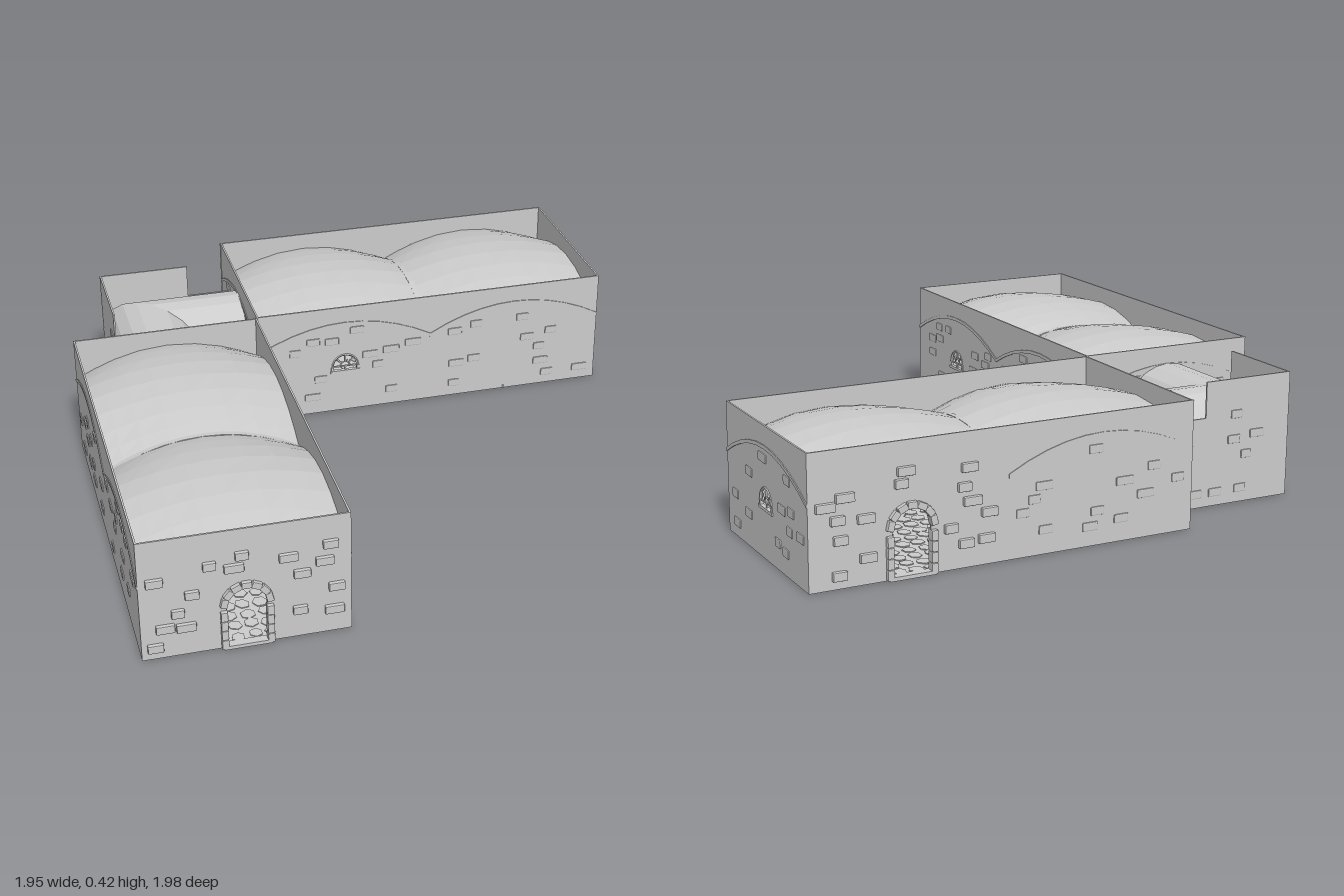
import * as THREE from 'three';
import { RoundedBoxGeometry } from 'three/addons/geometries/RoundedBoxGeometry.js';

const H = 0.42, BAY = 0.645, T = 0.006;
const SPRING = 0.27, RISE = 0.09;

export function createModel() {
  const model = new THREE.Group();
  const mat = new THREE.MeshStandardMaterial({ color: 0xcccccc, flatShading: true, side: THREE.DoubleSide });
  let seed = 7;
  const rnd = () => (seed = (seed * 16807) % 2147483647) / 2147483647;

  const add = (parent, name, geo, x = 0, y = 0, z = 0) => {
    const m = new THREE.Mesh(geo, mat);
    m.name = name;
    m.position.set(x, y, z);
    parent.add(m);
    return m;
  };
  const box = (parent, name, w, h, d, x, y, z) => add(parent, name, new THREE.BoxGeometry(w, h, d), x, y, z);
  const extrude = (shape, depth) => new THREE.ExtrudeGeometry(shape, { depth, bevelEnabled: false, curveSegments: 8 });

  // round-headed opening: half width r, foot at y0, springing at y1
  const archPath = (PathType, r, y0, y1) => {
    const p = new PathType();
    p.moveTo(-r, y0);
    p.lineTo(r, y0);
    p.lineTo(r, y1);
    p.absarc(0, y1, r, 0, Math.PI, false);
    p.lineTo(-r, y0);
    return p;
  };

  // shallow arch band that follows the edge of the vault
  const archBand = (len, thick) => {
    const top = [], low = [];
    for (let i = 0; i <= 10; i++) {
      const u = -1 + i / 5, y = SPRING + RISE * (1 - u * u);
      top.push(new THREE.Vector2(u * len / 2, y));
      low.unshift(new THREE.Vector2(u * len / 2, y - thick));
    }
    return new THREE.Shape([...top, ...low]);
  };

  // stone surround of a doorway
  function doorFrame(parent) {
    const g = new THREE.Group();
    g.name = 'doorFrame';
    parent.add(g);
    const d = 0.028, w = 0.022, z = 0;
    for (const s of [-1, 1])
      for (let i = 0; i < 4; i++)
        add(g, 'jambStone', new RoundedBoxGeometry(w, 0.033, d, 1, 0.003), s * 0.071, 0.018 + i * 0.034, z);
    for (let i = 0; i < 7; i++) {
      const a = (i + 0.5) * Math.PI / 7;
      const m = add(g, 'archStone', new RoundedBoxGeometry(w, 0.032, d, 1, 0.003),
        Math.cos(a) * 0.071, 0.152 + Math.sin(a) * 0.071, z);
      m.rotation.z = a;
    }
    box(g, 'threshold', 0.15, 0.012, d, 0, 0.006, z);
  }

  // half-round window with a grille
  function windowFrame(parent) {
    const g = new THREE.Group();
    g.name = 'window';
    g.position.set(0, 0.18, -T / 2);
    parent.add(g);
    for (const [r, t] of [[0.048, 0.006], [0.018, 0.003]])
      add(g, 'windowArch', new THREE.TorusGeometry(r, t, 4, 10, Math.PI));
    for (let i = 1; i < 4; i++) {
      const a = i * Math.PI / 4;
      box(g, 'windowBar', 0.032, 0.005, 0.005, Math.cos(a) * 0.032, Math.sin(a) * 0.032, 0).rotation.z = a;
    }
    box(g, 'windowSill', 0.11, 0.01, 0.014, 0, -0.02, 0);
    for (const s of [-1, 1]) box(g, 'windowSide', 0.01, 0.02, 0.01, s * 0.048, -0.01, 0);
    box(g, 'windowBar', 0.096, 0.005, 0.005, 0, 0, 0);
    box(g, 'windowBar', 0.005, 0.02, 0.005, 0, -0.01, 0);
  }

  // wall panel: local x along the wall, +z outward
  function wall(name, x, z, angle, len, { kind = 'plain', h = H, bricks = 12 } = {}) {
    const g = new THREE.Group();
    g.name = name;
    g.position.set(x, 0, z);
    g.rotation.y = angle;
    model.add(g);
    const s = new THREE.Shape();
    s.moveTo(-len / 2, 0);
    s.lineTo(len / 2, 0);
    s.lineTo(len / 2, h);
    s.lineTo(-len / 2, h);
    s.closePath();
    if (kind === 'door') s.holes.push(archPath(THREE.Path, 0.062, 0.004, 0.15));
    if (kind === 'window') s.holes.push(archPath(THREE.Path, 0.046, 0.16, 0.18));
    if (kind === 'passage') s.holes.push(archPath(THREE.Path, 0.145, 0.004, 0.2));
    add(g, 'wallPanel', extrude(s, T), 0, 0, -T);
    if (kind === 'door') doorFrame(g);
    if (kind === 'window') windowFrame(g);
    if (kind !== 'door' && len > 0.6) add(g, 'wallArch', extrude(archBand(len, 0.012), 0.003), 0, 0, 0);
    // scattered bricks, clear of the opening and of each other
    const clear = { door: 0.12, window: 0.09, passage: 0.2, plain: 0 }[kind];
    const depth = kind === 'door' ? 0.026 : 0.008;
    const placed = [];
    for (let n = 0; n < 200 && placed.length < bricks; n++) {
      const bx = (rnd() - 0.5) * (len - 0.08), by = 0.04 + rnd() * (Math.min(h, 0.36) - 0.07);
      if (Math.abs(bx) < clear && by < 0.27) continue;
      if (kind !== 'door' && len > 0.6 && by > SPRING - 0.03 + RISE * (1 - (2 * bx / len) ** 2)) continue;
      if (placed.some(p => Math.abs(p[0] - bx) < 0.06 && Math.abs(p[1] - by) < 0.036)) continue;
      placed.push([bx, by]);
      add(g, 'brick', new RoundedBoxGeometry(0.04 + rnd() * 0.022, 0.028, depth, 1, 0.003), bx, by, 0);
    }
  }

  // sheet of vaulting over a rectangle; u and v run from -1 to 1
  function vault(name, cx, cz, w, d, height, turned = false) {
    const geo = new THREE.PlaneGeometry(2, 2, 10, 10).rotateX(-Math.PI / 2);
    if (turned) geo.rotateY(Math.PI / 2);
    const p = geo.attributes.position;
    for (let i = 0; i < p.count; i++) {
      const u = Math.sin(p.getX(i) * Math.PI / 2), v = Math.sin(p.getZ(i) * Math.PI / 2);
      p.setXYZ(i, u * w / 2, height(u, v), v * d / 2);
    }
    geo.computeVertexNormals();
    add(model, name, geo, cx, 0, cz);
  }
  const sail = (u, v) => {
    const a = 1 - u * u, b = 1 - v * v;
    return SPRING + RISE * (a + b) - 0.04 * a * b;
  };
  const barrel = u => 0.2 + 0.16 * Math.sqrt(Math.max(0, 1 - u * u));

  // paved floor: slab with uneven cobbles showing on both faces
  function floor(name, x0, x1, z0, z1) {
    const g = new THREE.Group();
    g.name = name;
    model.add(g);
    const w = x1 - x0, d = z1 - z0;
    box(g, 'floorSlab', w, 0.006, d, x0 + w / 2, 0.006, z0 + d / 2);
    const nx = Math.round(w / 0.054), nz = Math.round(d / 0.054);
    const stone = new THREE.CylinderGeometry(0.026, 0.026, 0.012, 6);
    for (let i = 0; i < nx; i++)
      for (let j = 0; j < nz; j++) {
        const m = add(g, 'cobble', stone,
          x0 + (i + 0.5 + (rnd() - 0.5) * 0.2) * w / nx, 0.006, z0 + (j + 0.5 + (rnd() - 0.5) * 0.2) * d / nz);
        m.rotation.y = rnd() * 3;
        m.scale.set(0.8 + rnd() * 0.2, 1, 0.8 + rnd() * 0.2);
      }
  }

  const F = 0, B = Math.PI, R = Math.PI / 2, L = -Math.PI / 2;

  // long hall running along z
  for (const [i, z] of [-0.0025, 0.6475].entries()) {
    wall('longHallLeftWall', -0.32, z, R, BAY + 0.005, { kind: i ? 'window' : 'plain' });
    wall('longHallRightWall', -0.97, z, L, BAY + 0.005);
    vault('longHallVault', -0.645, z, BAY, BAY + 0.005, sail);
  }
  wall('longHallFrontWall', -0.645, 0.975, F, 0.65, { kind: 'door', bricks: 16 });
  wall('longHallBackWall', -0.645, -0.328, B, 0.65, { kind: 'passage' });
  add(model, 'vaultRib', extrude(archBand(BAY, 0.02), 0.02), -0.645, 0.004, 0.312);
  floor('longHallFloor', -0.97, -0.32, -0.325, 0.97);

  // wide hall running along x
  for (const [i, x] of [0.0025, 0.6475].entries()) {
    wall('wideHallFrontWall', x, -0.33, F, BAY + 0.005, { kind: i ? 'plain' : 'window' });
    wall('wideHallBackWall', x, -0.978, B, BAY + 0.005, i ? { kind: 'door', bricks: 16 } : {});
    vault('wideHallVault', x, -0.654, BAY + 0.005, BAY, sail);
  }
  wall('wideHallLeftWall', 0.973, -0.654, R, 0.648, { kind: 'window' });
  wall('wideHallRightWall', -0.32, -0.654, L, 0.648, { kind: 'passage' });
  add(model, 'vaultRib', extrude(archBand(BAY, 0.02), 0.02).rotateY(R), 0.315, 0.004, -0.654);
  floor('wideHallFloor', -0.32, 0.97, -0.975, -0.33);

  // corner passage: tall outer walls and a mitred barrel vault
  const C = -0.645, W = 0.32;
  wall('cornerRightWall', -0.807, -0.65, L, 0.325, { bricks: 6 });
  wall('cornerBackWall', C, -0.813, B, 0.325, { bricks: 6 });
  vault('cornerVault', C, -0.65, W, W, (u, v) => barrel(Math.min(u, v)), true);
  floor('cornerFloor', -0.805, -0.485, -0.81, -0.49);

  // short straight passages leading into each hall
  const low = { h: 0.3, bricks: 3 };
  wall('passageBackWall', -0.403, -0.813, B, 0.165, low);
  wall('passageFrontWall', -0.403, -0.49, F, 0.165, low);
  vault('passageVault', -0.403, -0.65, 0.165, W, (u, v) => barrel(v));
  floor('passageFloor', -0.485, -0.32, -0.81, -0.49);
  wall('passageRightWall', -0.807, -0.409, L, 0.162, low);
  wall('passageLeftWall', -0.485, -0.409, R, 0.162, low);
  vault('passageVault', C, -0.409, W, 0.162, (u) => barrel(u));
  floor('passageFloor', -0.805, -0.485, -0.49, -0.328);

  return model;
}
